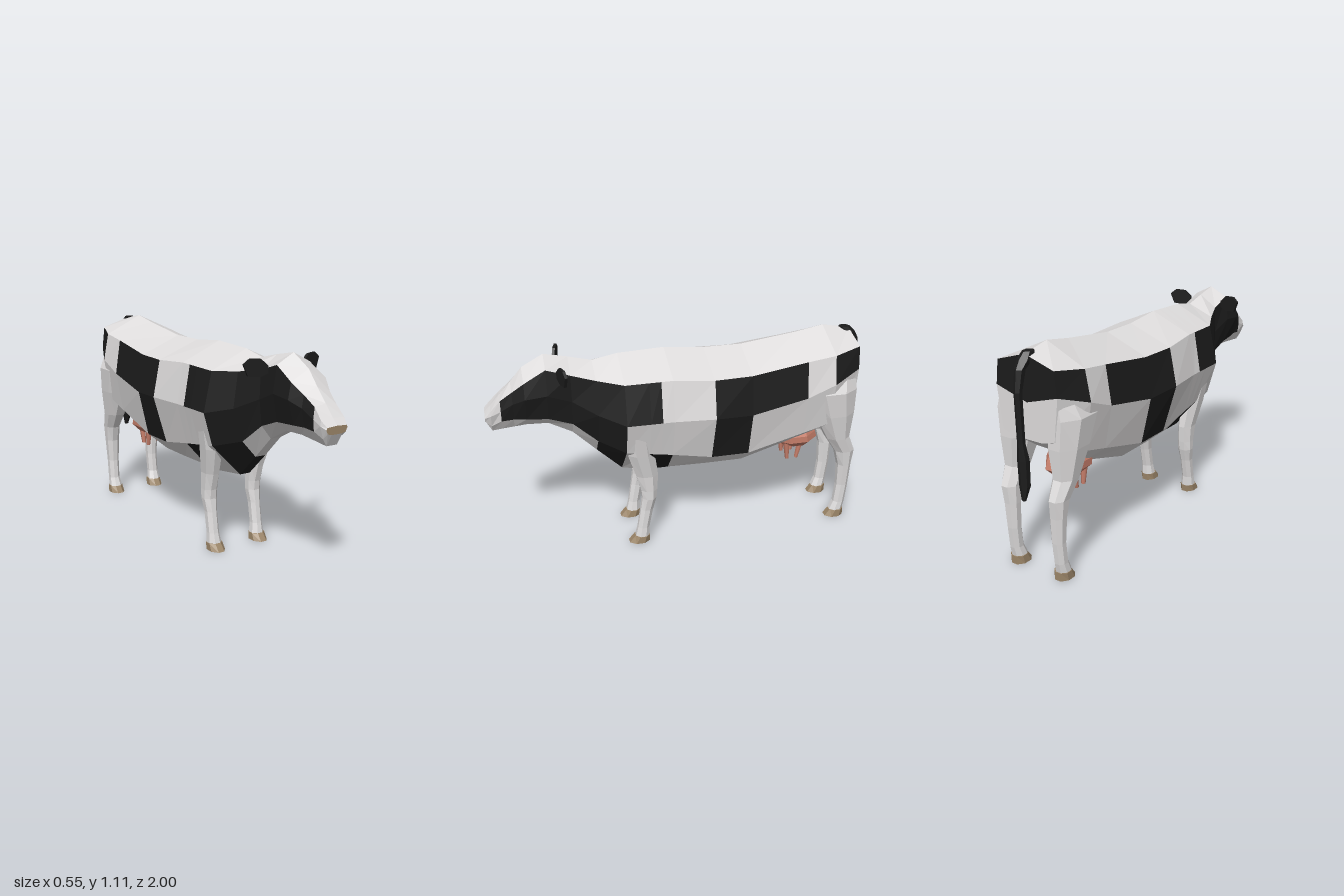
import * as THREE from 'three';

const mat = (name, color) => Object.assign(new THREE.MeshStandardMaterial({ color }), { name });

// Skins a stack of rings (each clockwise seen from the stacking direction) with flat
// facets and closed ends. pick(i, j) gives the material index of facet j in segment i.
function loft(name, rings, materials, pick = () => 0) {
  const lists = materials.map(() => []);
  const n = rings[0].length, last = rings.length - 1;
  const tri = (m, ...pts) => pts.forEach((p) => lists[m].push(...p));
  const middle = (r) => [0, 1, 2].map((k) => r.reduce((s, p) => s + p[k], 0) / n);
  for (let j = 0; j < n; j++) {
    const k = (j + 1) % n;
    for (let i = 0; i < last; i++) {
      const a = rings[i][j], b = rings[i][k], c = rings[i + 1][k], d = rings[i + 1][j];
      tri(pick(i, j), a, d, c);
      tri(pick(i, j), a, c, b);
    }
    tri(pick(-1, j), middle(rings[0]), rings[0][j], rings[0][k]);
    tri(pick(last, j), middle(rings[last]), rings[last][k], rings[last][j]);
  }
  const geo = new THREE.BufferGeometry();
  geo.setAttribute('position', new THREE.Float32BufferAttribute(lists.flat(), 3));
  let start = 0;
  lists.forEach((l, m) => {
    geo.addGroup(start, l.length / 3, m);
    start += l.length / 3;
  });
  geo.computeVertexNormals();
  const mesh = new THREE.Mesh(geo, materials);
  mesh.name = name;
  return mesh;
}

// Horizontal ring filling the box x0..x1, z0..z1 at height y; side mirrors it in x
function ring([y, x0, x1, z0, z1], side = 1, n = 8) {
  const pts = [], f = 1 / Math.cos(Math.PI / n);
  for (let i = 0; i < n; i++) {
    const t = ((i + 0.5) / n) * Math.PI * 2;
    pts.push([
      side * (x0 + x1) / 2 + Math.cos(t) * f * (x1 - x0) / 2,
      y,
      (z0 + z1) / 2 + Math.sin(t) * f * (z1 - z0) / 2,
    ]);
  }
  return pts;
}

// Closed ring across the body: spine point, then four points down each side
function bodyRing([z, top, bx, by, fx, fy, lx, ly, belly]) {
  const half = [[bx, by, z], [fx, fy, z], [lx, ly, z], [z > 0.3 ? 0.03 : 0.08, belly, z]];
  return [[0, top, z], ...half, ...half.map(([x, y]) => [-x, y, z]).reverse()];
}

export function createModel() {
  const group = new THREE.Group();
  group.name = 'cow';
  const white = mat('white hide', 0xdedcdc);
  const black = mat('black hide', 0x1c1c1c);
  const pink = mat('udder pink', 0xc9806c);
  const brown = mat('hoof brown', 0x9c8669);

  // Barrel: z, spine y, then x,y of back edge, flank and lower flank, then belly y
  const barrel = [
    [-0.93, 1.08, 0.16, 1.03, 0.175, 0.91, 0.15, 0.70, 0.68],
    [-0.78, 1.107, 0.21, 1.01, 0.24, 0.86, 0.20, 0.62, 0.58],
    [-0.63, 1.08, 0.21, 0.99, 0.24, 0.80, 0.20, 0.58, 0.49],
    [-0.33, 1.04, 0.225, 0.95, 0.255, 0.745, 0.20, 0.50, 0.40],
    [-0.13, 1.04, 0.235, 0.95, 0.275, 0.755, 0.20, 0.50, 0.40],
    [0.08, 1.06, 0.22, 0.965, 0.255, 0.755, 0.20, 0.54, 0.405],
  ];
  // Chest, neck and head in the same order
  const neckAndHead = [
    [0.32, 1.05, 0.205, 0.957, 0.25, 0.754, 0.20, 0.58, 0.405],
    [0.45, 1.025, 0.14, 0.968, 0.165, 0.79, 0.11, 0.62, 0.53],
    [0.57, 1.055, 0.095, 0.99, 0.10, 0.85, 0.085, 0.72, 0.65],
    [0.69, 1.08, 0.095, 1.03, 0.115, 0.90, 0.09, 0.765, 0.715],
    [0.80, 1.02, 0.10, 0.97, 0.115, 0.89, 0.08, 0.77, 0.72],
    [0.86, 0.95, 0.075, 0.92, 0.085, 0.86, 0.065, 0.77, 0.715],
    [0.92, 0.885, 0.062, 0.875, 0.068, 0.82, 0.062, 0.765, 0.71],
    [0.97, 0.83, 0.066, 0.825, 0.07, 0.80, 0.052, 0.74, 0.705],
    [1.00, 0.80, 0.056, 0.797, 0.06, 0.787, 0.052, 0.768, 0.762],
  ];
  // Shoulder rings blended between barrel and chest, where patches begin and end
  const shoulder = [0.25, 0.5].map((t) =>
    barrel[5].map((v, k) => THREE.MathUtils.lerp(v, neckAndHead[0][k], t)));
  const bodyRings = [...barrel, ...shoulder, ...neckAndHead].map(bodyRing);

  // Black patches: segments that are black in each band from spine down to belly
  const head = [8, 9, 10, 11, 12, 13];
  const patches = [[], [0, 2, 3, 6, 7, ...head], [3, ...head], [5, 6, 8], [8]];
  group.add(loft('body', bodyRings, [white, black, brown], (i, j) => {
    const band = Math.min(j, 8 - j);
    if (i === bodyRings.length - 1) return 2; // nose
    if (i < 0) return band < 2 ? 1 : 0; // rump
    return patches[band].includes(i) ? 1 : 0;
  }));

  // Legs, from the ankle up: y, x0, x1, z0, z1
  const frontLeg = [
    [0.035, 0.10, 0.172, 0.20, 0.275],
    [0.09, 0.108, 0.168, 0.20, 0.262],
    [0.20, 0.108, 0.168, 0.178, 0.245],
    [0.27, 0.10, 0.177, 0.16, 0.235],
    [0.32, 0.10, 0.177, 0.155, 0.24],
    [0.41, 0.10, 0.18, 0.15, 0.265],
    [0.55, 0.10, 0.205, 0.17, 0.31],
    [0.72, 0.12, 0.235, 0.20, 0.315],
  ];
  const hindLeg = [
    [0.04, 0.10, 0.172, -0.925, -0.85],
    [0.09, 0.108, 0.168, -0.935, -0.87],
    [0.20, 0.105, 0.168, -0.945, -0.88],
    [0.33, 0.10, 0.177, -0.95, -0.875],
    [0.42, 0.10, 0.185, -0.958, -0.85],
    [0.51, 0.09, 0.20, -0.918, -0.79],
    [0.66, 0.06, 0.222, -0.928, -0.71],
    [0.80, 0.06, 0.235, -0.925, -0.65],
    [0.88, 0.08, 0.20, -0.92, -0.70],
  ];
  const frontHoof = [[0, 0.093, 0.177, 0.20, 0.31], [0.037, 0.097, 0.175, 0.198, 0.28]];
  const hindHoof = [[0, 0.093, 0.177, -0.93, -0.825], [0.042, 0.097, 0.175, -0.93, -0.855]];

  // Ear outline, rooted at x = 0
  const earShape = new THREE.Shape([
    [0, 0.985], [0.035, 0.97], [0.10, 0.975], [0.122, 1.03], [0.09, 1.055], [0.035, 1.052], [0, 1.02],
  ].map(([x, y]) => new THREE.Vector2(x, y)));
  const earGeo = new THREE.ExtrudeGeometry(earShape, { depth: 0.014, bevelEnabled: false });

  for (const side of [1, -1]) {
    const word = side > 0 ? 'left' : 'right';
    const add = (name, rows, m) => group.add(loft(word + name, rows.map((r) => ring(r, side)), [m]));
    add('FrontLeg', frontLeg, white);
    add('HindLeg', hindLeg, white);
    add('FrontHoof', frontHoof, brown);
    add('HindHoof', hindHoof, brown);

    const ear = new THREE.Mesh(earGeo, black);
    ear.rotation.y = 0.25;
    const earMount = new THREE.Group();
    earMount.name = word + 'Ear';
    earMount.position.set(side * 0.1, 0, 0.625);
    earMount.scale.x = side;
    earMount.add(ear);
    group.add(earMount);

    // Teats
    for (const z of [-0.605, -0.675]) {
      const teat = new THREE.Mesh(new THREE.CylinderGeometry(0.02, 0.011, 0.12, 6), pink);
      teat.name = word + 'Teat';
      teat.position.set(side * 0.048, 0.41, z);
      teat.rotation.x = z < -0.65 ? -0.2 : 0.1;
      group.add(teat);
    }
  }

  // Udder
  group.add(loft('udder', [
    [0.425, -0.06, 0.06, -0.74, -0.60],
    [0.465, -0.10, 0.10, -0.78, -0.535],
    [0.50, -0.10, 0.10, -0.77, -0.53],
    [0.58, -0.06, 0.06, -0.74, -0.58],
  ].map((r) => ring(r)), [pink]));

  // Tail with its brush, from the tip up to the root
  group.add(loft('tail', [
    [0.40, -0.01, 0.01, -0.99, -0.975],
    [0.47, -0.024, 0.024, -0.992, -0.95],
    [0.60, -0.026, 0.026, -0.995, -0.95],
    [0.68, -0.017, 0.017, -0.995, -0.965],
    [0.92, -0.017, 0.017, -1.0, -0.967],
    [1.02, -0.022, 0.022, -0.985, -0.94],
    [1.06, -0.03, 0.03, -0.96, -0.89],
    [1.09, -0.022, 0.022, -0.93, -0.875],
  ].map((r) => ring(r, 1, 6)), [black]));

  return group;
}
